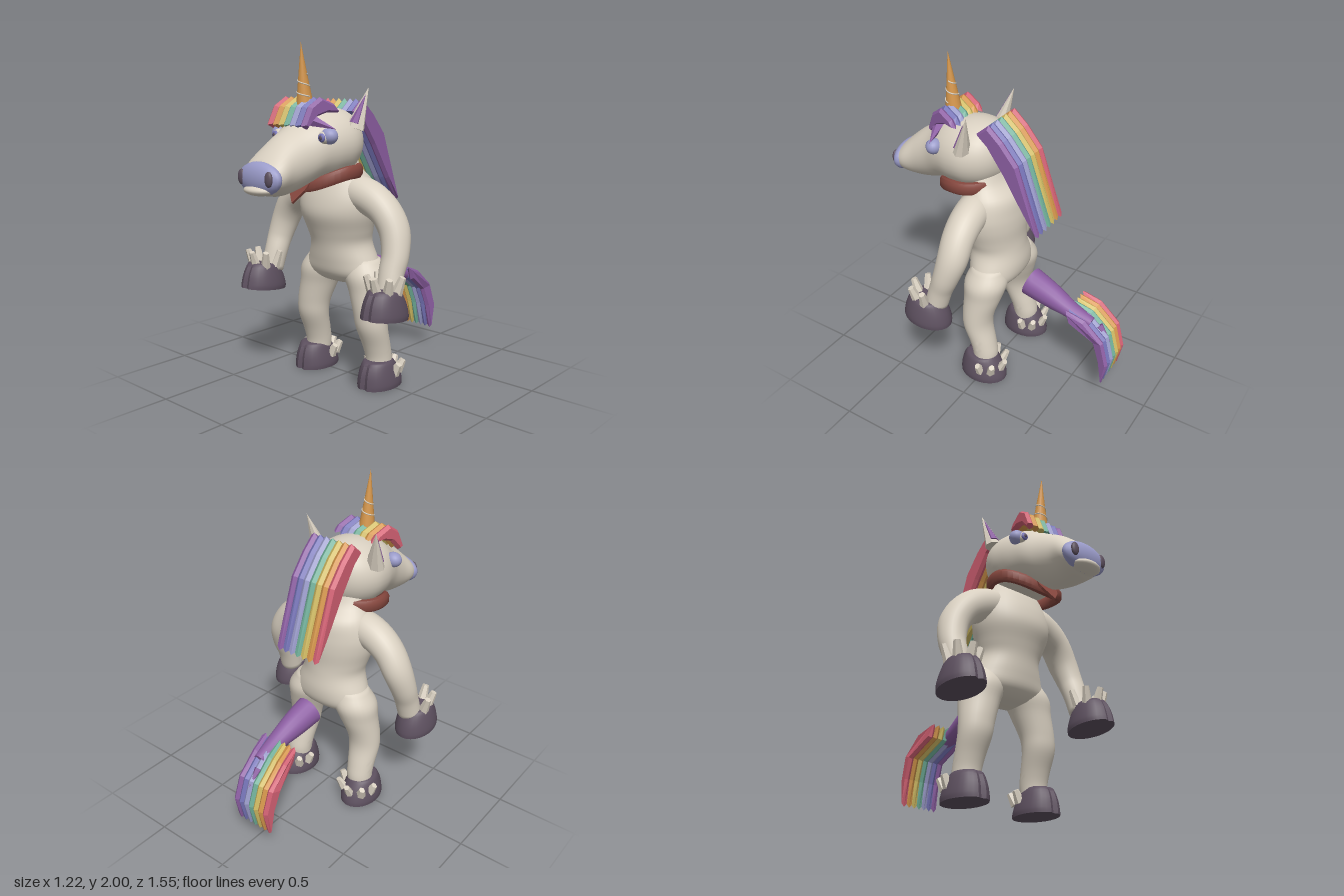
import * as THREE from 'three';
import { toCreasedNormals } from 'three/addons/utils/BufferGeometryUtils.js';

const V = (x, y, z) => new THREE.Vector3(x, y, z);
const paint = (name, color) => {
  const m = new THREE.MeshStandardMaterial({ color });
  m.name = name;
  return m;
};

// Smooth tube through rows of [x, y, z, radiusU, radiusV]; normal fixes the ring plane, notch cuts a front cleft
function loft(rows, { ref = V(1, 0, 0), normal = null, seg = 28, steps = 5, notch = 0, crease = 1 } = {}) {
  const path = new THREE.CatmullRomCurve3(rows.map(r => V(r[0], r[1], r[2])), false, 'catmullrom');
  const size = new THREE.CatmullRomCurve3(rows.map(r => V(r[3], r[4], 0)), false, 'catmullrom');
  const n = (rows.length - 1) * steps, pos = [], idx = [];
  for (let i = 0; i <= n; i++) {
    const c = path.getPoint(i / n), s = size.getPoint(i / n);
    const t = normal || path.getTangent(i / n);
    const u = ref.clone().addScaledVector(t, -ref.dot(t)).normalize();
    const v = t.clone().cross(u);
    for (let j = 0; j < seg; j++) {
      const a = j / seg * Math.PI * 2;
      const k = notch && Math.abs(a - Math.PI / 2) < 0.05 ? 1 - notch : 1;
      const p = c.clone().addScaledVector(u, s.x * k * Math.cos(a)).addScaledVector(v, s.y * k * Math.sin(a));
      pos.push(p.x, p.y, p.z);
    }
  }
  for (let i = 0; i < n; i++) for (let j = 0; j < seg; j++) {
    const a = i * seg + j, b = i * seg + (j + 1) % seg;
    idx.push(a, b, b + seg, a, b + seg, a + seg);
  }
  const first = rows[0], last = rows[rows.length - 1], base = n * seg, c0 = pos.length / 3;
  pos.push(...first.slice(0, 3), ...last.slice(0, 3));
  for (let j = 0; j < seg; j++) {
    const k = (j + 1) % seg;
    idx.push(c0, k, j, c0 + 1, base + j, base + k);
  }
  const g = new THREE.BufferGeometry();
  g.setAttribute('position', new THREE.Float32BufferAttribute(pos, 3));
  g.setIndex(idx);
  return toCreasedNormals(g, crease);
}

const faceted = g => {
  const f = g.toNonIndexed();
  f.computeVertexNormals();
  return f;
};

// Cone or tapered peg between two points
function spike(from, to, r, seg, depth = 1, tip = 0) {
  const d = to.clone().sub(from), len = d.length();
  return new THREE.CylinderGeometry(tip, r, len, seg)
    .translate(0, len / 2, 0).scale(1, 1, depth)
    .applyQuaternion(new THREE.Quaternion().setFromUnitVectors(V(0, 1, 0), d.normalize()))
    .translate(from.x, from.y, from.z);
}

const ball = (x, y, z, a, b, c) => new THREE.SphereGeometry(1, 24, 16).scale(a, b, c).translate(x, y, z);

// One ridged lock of hair: a (z, y) outline swept across x with pointed edges
function lock(outline, x, width) {
  const b = 0.014;
  return new THREE.ExtrudeGeometry(new THREE.Shape(outline.map(p => new THREE.Vector2(...p))), {
    depth: 0.002, bevelThickness: width / 2 - 0.001, bevelSize: b, bevelOffset: -b, bevelSegments: 1,
  }).translate(0, 0, -0.001).rotateY(-Math.PI / 2).translate(x, 0, 0);
}

export function createModel() {
  const model = new THREE.Group();
  model.name = 'unicorn';
  const ivory = paint('ivory', 0xd9d0c1), dark = paint('hoof', 0x5d505f), rust = paint('collar', 0x87483f),
    gold = paint('gold', 0xd3954b), red = paint('red', 0xd06072), yellow = paint('yellow', 0xcfba63),
    teal = paint('teal', 0x70ae98), lavender = paint('lavender', 0x9a9bc9), indigo = paint('indigo', 0x7573b6),
    purple = paint('purple', 0x8d5fa3);
  const rainbow = [red, gold, yellow, teal, lavender, indigo, purple];
  const add = (name, geo, mat, parent = model) => {
    const m = new THREE.Mesh(geo, mat);
    m.name = name;
    parent.add(m);
    return m;
  };
  const down = V(0, -1, 0);

  // Torso: [y, halfWidth, centreZ, halfDepth]
  add('torso', loft([
    [1.4, .13, .12, .09], [1.3, .17, .1, .11], [1.22, .22, .08, .165], [1.12, .25, .085, .19],
    [1.03, .245, .085, .195], [.93, .215, .07, .175], [.85, .2, .055, .165], [.75, .24, .04, .162],
    [.67, .27, .035, .145], [.62, .2, .03, .1], [.6, .08, .03, .04],
  ].map(([y, a, z, b]) => [0, y, z, a, b]), { normal: down, seg: 36, crease: 2 }), ivory);

  // Head: [z, centreY, halfWidth, halfHeight]
  add('head', loft([
    [0, 1.46, .03, .03], [.02, 1.455, .12, .11], [.08, 1.45, .19, .175], [.17, 1.442, .23, .203],
    [.27, 1.435, .228, .203], [.37, 1.42, .2, .19], [.47, 1.37, .165, .175], [.57, 1.33, .15, .155],
    [.65, 1.3, .153, .118], [.7, 1.285, .14, .085],
  ].map(([z, y, a, b]) => [0, y, z, a, b]), { normal: V(0, 0, 1), seg: 36, crease: 2 }), ivory);
  add('nose', ball(0, 1.282, .695, .158, .092, .06), lavender);
  add('lowerLip', ball(0, 1.222, .7, .1, .032, .073), ivory);

  // Hoof with a cleft front, standing on y = 0
  const hoof = (s, x) => loft([
    [.158, .06, .02, .07], [.15, .085, .02, .1], [.09, .106, .012, .135], [.03, .118, .005, .152], [0, .116, .004, .155],
  ].map(([y, a, z, b]) => [s * x, y, z, a, b]), { normal: down, seg: 28, steps: 3, notch: .1, crease: .7 });

  // Ring of blunt tufts that flare outward
  const tufts = (group, s, [cx, cy, cz], r, rise, flare, angles) => angles.forEach(a => {
    const dx = Math.cos(a) * s, dz = Math.sin(a);
    const from = V(s * cx + dx * r, cy, cz + dz * r);
    const to = from.clone().add(V(dx * flare, rise, dz * flare));
    add('tuft', faceted(spike(from, to, .034, 6, .85, .02)), ivory, group);
  });

  for (const s of [1, -1]) {
    const side = s > 0 ? 'left' : 'right';
    const part = name => {
      const g = new THREE.Group();
      g.name = side + name;
      model.add(g);
      return g;
    };

    // Arm, hand hoof and wrist tufts
    const arm = part('Arm');
    add('armLimb', loft([
      [.06, 1.16, .1, .08, .08], [.17, 1.16, .1, .1, .1], [.28, 1.125, .095, .1, .1], [.37, 1.06, .09, .096, .09],
      [.43, .96, .09, .092, .086], [.46, .84, .12, .078, .079], [.463, .74, .158, .07, .074], [.47, .63, .19, .068, .072],
    ].map(r => [s * r[0], ...r.slice(1)]), { ref: V(0, 0, 1), crease: 2 }), ivory, arm);
    const hand = add('handHoof', hoof(s, 0), dark, arm);
    hand.position.set(s * .49, .512, .243);
    hand.rotation.x = -.11;
    tufts(arm, s, [.485, .655, .24], .068, .095, .035, [-.3, .65, 1.57, 2.5, 3.6]);

    // Leg, foot hoof and heel tufts
    const leg = part('Leg');
    add('legLimb', loft([
      [.15, .76, .03, .1, .1], [.175, .67, .032, .135, .132], [.2, .57, .04, .12, .118], [.228, .45, .057, .106, .098],
      [.238, .36, .055, .099, .09], [.243, .25, .02, .087, .082], [.246, .17, 0, .081, .079], [.25, .1, 0, .078, .076],
    ].map(r => [s * r[0], ...r.slice(1)]), { normal: down, crease: 2 }), ivory, leg);
    add('footHoof', hoof(s, .26), dark, leg);
    tufts(leg, s, [.255, .075, -.025], .09, .065, .035, [0, -.75, -1.57, -2.4, -3.14]);

    // Ear with inner face
    const ear = part('Ear');
    add('outerEar', faceted(spike(V(s * .2, 1.53, .165), V(s * .245, 1.757, .1), .062, 8, .7)), ivory, ear);
    add('innerEar', faceted(spike(V(s * .213, 1.56, .183), V(s * .243, 1.72, .122), .034, 6, .6)), purple, ear);

    // Eye under a heavy lid
    const eye = part('Eye');
    add('eyelid', ball(s * .192, 1.497, .365, .052, .045, .045), lavender, eye);
    add('eyeball', ball(s * .176, 1.49, .385, .04, .036, .036), ivory, eye);
    add('iris', ball(s * .18, 1.49, .411, .024, .024, .014), indigo, eye);
    add('pupil', ball(s * .182, 1.49, .421, .011, .013, .007), dark, eye);
    add(side + 'Nostril', ball(s * .105, 1.288, .732, .027, .042, .017), dark);
  }

  // Horn with a pale spiral
  const hornBase = V(0, 1.58, .35), hornTip = V(0, 2, .383);
  add('horn', spike(hornBase, hornTip, .06, 20), gold);
  const spiral = [];
  for (let i = 0; i <= 30; i++) {
    const t = .3 + .3 * i / 30, a = i / 30 * Math.PI * 4, r = .061 * (1 - t);
    spiral.push(hornBase.clone().lerp(hornTip, t).add(V(Math.cos(a) * r, 0, Math.sin(a) * r)));
  }
  add('hornSpiral', new THREE.TubeGeometry(new THREE.CatmullRomCurve3(spiral), 60, .004, 6), ivory);

  // Collar dipping at the throat, with a hanging point
  const band = [[-.022, -.02], [-.012, -.037], [.012, -.037], [.022, -.02], [.022, .02], [.012, .037], [-.012, .037], [-.022, .02]];
  const pos = [], idx = [], n = 40, m = band.length;
  for (let i = 0; i < n; i++) {
    const a = i / n * Math.PI * 2, dip = .075 * Math.max(0, Math.cos(a)) ** 2;
    for (const [r, h] of band) pos.push(Math.sin(a) * (.22 + r), 1.29 - dip + h, .21 + Math.cos(a) * (.18 + r));
    for (let j = 0; j < m; j++) {
      const k = (j + 1) % m, o = (i + 1) % n * m;
      idx.push(i * m + j, o + j, o + k, i * m + j, o + k, i * m + k);
    }
  }
  const collar = new THREE.BufferGeometry();
  collar.setAttribute('position', new THREE.Float32BufferAttribute(pos, 3));
  collar.setIndex(idx);
  add('collar', toCreasedNormals(collar, .6), rust);
  const point = new THREE.Shape([[-.085, .02], [.085, .02], [.06, -.05], [0, -.13], [-.06, -.05]].map(p => new THREE.Vector2(...p)));
  const scarf = add('collarPoint', new THREE.ExtrudeGeometry(point, { depth: .015, bevelEnabled: false }), rust);
  scarf.position.set(0, 1.23, .39);
  scarf.rotation.x = -.52;

  // Rainbow hair: mane, forelock and tail tuft
  const hair = (name, outline, x0, width, bend) => {
    const g = new THREE.Group();
    g.name = name;
    model.add(g);
    rainbow.forEach((mat, i) => {
      const geo = lock(outline, x0 + i * width, width), p = geo.attributes.position;
      for (let k = 0; k < p.count; k++) p.setX(k, p.getX(k) + bend(p.getY(k), p.getZ(k)));
      geo.computeVertexNormals();
      add('lock', geo, mat, g);
    });
    return g;
  };
  hair('mane', [[.11, 1.62], [.03, 1.69], [-.06, 1.61], [-.16, 1.49], [-.3, 1.07], [-.19, 1.21], [-.06, 1.42], [.04, 1.56]],
    -.132, .044, () => 0);
  const forelock = hair('forelock', [[.24, 1.62], [.27, 1.665], [.36, 1.705], [.43, 1.655], [.475, 1.55], [.44, 1.53], [.38, 1.6], [.32, 1.62]],
    -.148, .044, (y, z) => -.25 * (z - .36));
  add('wisp', faceted(spike(V(.09, 1.58, .4), V(.24, 1.535, .36), .035, 5)), purple, forelock);
  const tail = hair('tail', [[-.48, .595], [-.6, .555], [-.73, .44], [-.775, .29], [-.74, .13], [-.7, .29], [-.655, .41], [-.5, .515]],
    -.123, .037, (y, z) => -.03 * Math.max(0, 1 - Math.abs(z + .66) / .15));
  add('tailBase', loft([
    [.01, .64, -.185, .088, .092], [.02, .6, -.33, .075, .078], [.03, .555, -.48, .055, .05], [.03, .515, -.62, .035, .035],
  ], { seg: 16, crease: .9 }), purple, tail);
  add('tailWisp', faceted(spike(V(0, .49, -.66), V(.005, .4, -.745), .025, 5)), purple, tail);

  return model;
}
